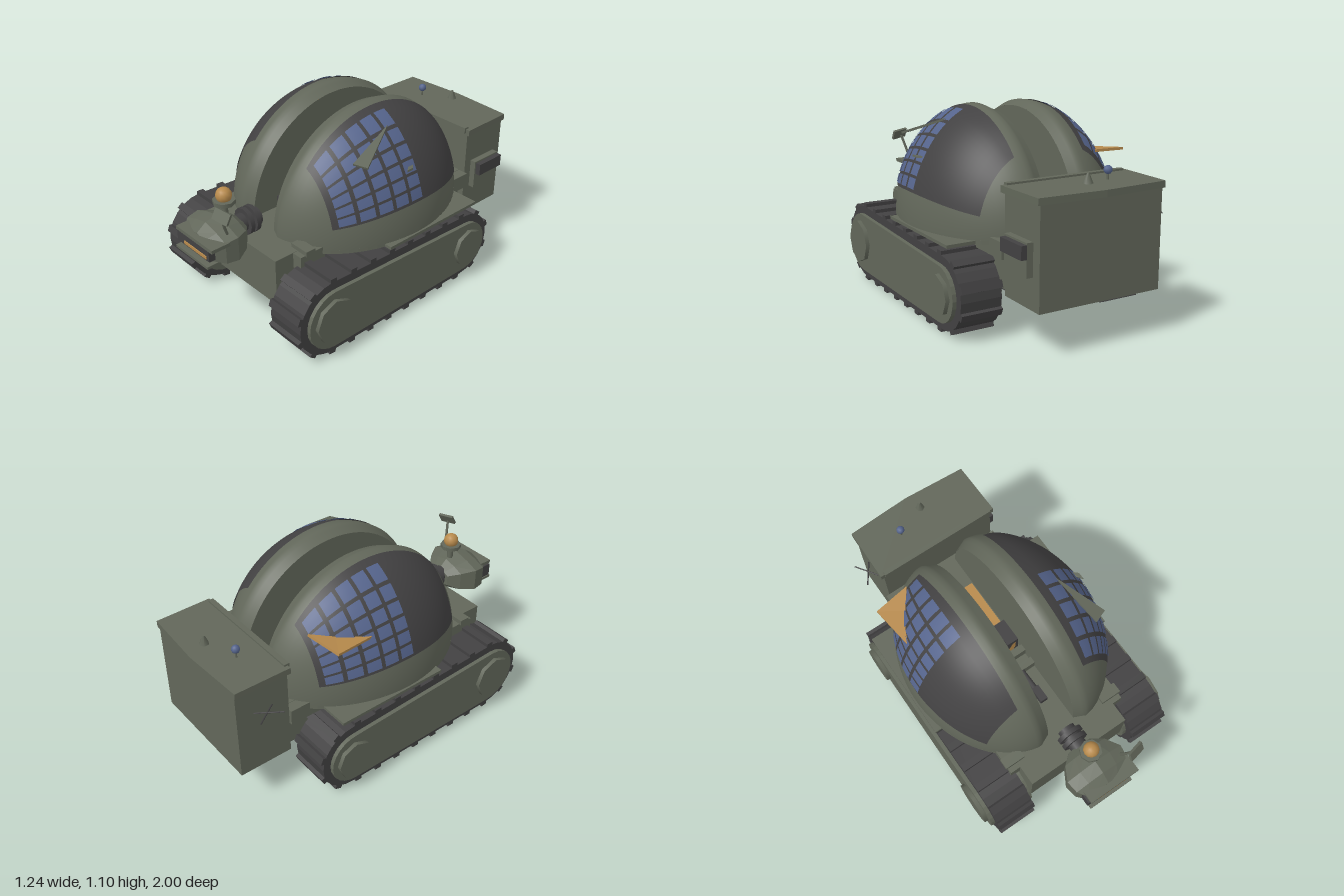
import * as THREE from 'three';

const paint = (name, color) => {
  const m = new THREE.MeshStandardMaterial({ color, side: THREE.DoubleSide });
  m.name = name;
  return m;
};
const green = paint('olive green', 0x62675a);
const gray = paint('dark gray', 0x424142);
const orange = paint('amber', 0xb78a4c);
const blue = paint('slate blue', 0x55648c);

function add(parent, name, geo, mat, x = 0, y = 0, z = 0) {
  const m = new THREE.Mesh(geo, mat);
  m.name = name;
  m.position.set(x, y, z);
  parent.add(m);
  return m;
}
// box given by its extents
const box = (p, name, mat, x0, x1, y0, y1, z0, z1) =>
  add(p, name, new THREE.BoxGeometry(x1 - x0, y1 - y0, z1 - z0), mat, (x0 + x1) / 2, (y0 + y1) / 2, (z0 + z1) / 2);
const cyl = (r0, r1, h, n) => new THREE.CylinderGeometry(r0, r1, h, n);
// outline in (z, y), extruded symmetrically along x
const sideExtrude = (pts, width) =>
  new THREE.ExtrudeGeometry(new THREE.Shape(pts), { depth: width, bevelEnabled: false })
    .rotateY(-Math.PI / 2).translate(width / 2, 0, 0);
// outline in (x, z), extruded downward
const planExtrude = (pts, h) =>
  new THREE.ExtrudeGeometry(new THREE.Shape(pts), { depth: h, bevelEnabled: false }).rotateX(Math.PI / 2);
const V2 = (x, y) => new THREE.Vector2(x, y);
const V3 = (x, y, z) => new THREE.Vector3(x, y, z);

// flat-faced plate through three or four points
function plate(parent, name, mat, pts, h) {
  const n = V3().crossVectors(pts[1].clone().sub(pts[0]), pts[2].clone().sub(pts[0])).normalize().multiplyScalar(h);
  const all = [...pts, ...pts.map(p => p.clone().sub(n))], k = pts.length, idx = [];
  for (let i = 1; i < k - 1; i++) idx.push(0, i, i + 1, k, k + i + 1, k + i);
  for (let i = 0; i < k; i++) {
    const j = (i + 1) % k;
    idx.push(i, k + i, k + j, i, k + j, j);
  }
  const g = new THREE.BufferGeometry().setFromPoints(all);
  g.setIndex(idx);
  const flat = g.toNonIndexed();
  flat.computeVertexNormals();
  return add(parent, name, flat, mat);
}

// dome half: x along its axis as a function of radius
const R = 0.62;
const domeX = r => 0.15 + 0.425 * Math.pow(Math.max(0, 1 - (r / R) ** 2), 1 / 1.7);

// patch of dome skin, u from front to back, v from bottom to top
function skin(u0, u1, v0, v1, n, m, lift) {
  const pos = [], idx = [], k = 1 + lift / 0.6;
  for (let i = 0; i <= n; i++) for (let j = 0; j <= m; j++) {
    const u = u0 + (u1 - u0) * i / n, v = v0 + (v1 - v0) * j / m;
    const z = 0.46 - 0.92 * u;
    const low = 0.125 + 0.05 * Math.sin(Math.PI * u), high = Math.sqrt(0.61 ** 2 - z * z);
    const y = low + (high - low) * v;
    pos.push(domeX(Math.hypot(y, z)) * k + lift * 0.3, y * k, z * k);
    if (i < n && j < m) {
      const a = i * (m + 1) + j, b = a + m + 1;
      idx.push(a, b, b + 1, a, b + 1, a + 1);
    }
  }
  const g = new THREE.BufferGeometry();
  g.setAttribute('position', new THREE.Float32BufferAttribute(pos, 3));
  g.setIndex(idx);
  g.computeVertexNormals();
  return g;
}

function domeHalf() {
  const g = new THREE.Group();
  const profile = [V2(0.59, 0.085), V2(0.61, 0.13)];
  for (let i = 0; i <= 18; i++) {
    const r = R * Math.cos(i / 18 * Math.PI / 2);
    profile.push(V2(Math.max(r, 0), domeX(r)));
  }
  add(g, 'domeShell', new THREE.LatheGeometry(profile, 48, Math.PI, Math.PI).rotateZ(-Math.PI / 2), green);
  add(g, 'domeInnerWall', new THREE.CircleGeometry(0.59, 40, 0, Math.PI).rotateY(-Math.PI / 2), green, 0.085);
  const rim = profile.map(p => V2(p.y, p.x)), back = profile.map(p => V2(p.y, -p.x)).reverse().slice(1);
  add(g, 'domeBase', planExtrude([...rim, ...back], 0.02), green, 0, 0.005);
  add(g, 'windowFrame', skin(0, 1, 0, 1, 28, 16, 0.004), gray);
  // glass panes
  const cols = 5, rows = 6;
  for (let i = 0; i < cols; i++) for (let j = 0; j < rows; j++) {
    const u = 0.03 + i * 0.105, v = 0.04 + j * 0.158;
    add(g, 'windowPane', skin(u, u + 0.083, v, v + 0.126, 4, 3, 0.008), blue);
  }
  return g;
}

function trackUnit() {
  const g = new THREE.Group();
  const outline = inset => {
    const pts = [];
    const arc = (z, y, r, a0) => {
      for (let i = 0; i <= 12; i++) {
        const a = a0 + Math.PI * i / 12;
        pts.push(V2(z + (r - inset) * Math.cos(a), y + (r - inset) * Math.sin(a)));
      }
    };
    arc(0.565, 0.235, 0.215, -Math.PI / 2);
    arc(-0.43, 0.215, 0.195, Math.PI / 2);
    return pts;
  };
  add(g, 'trackBelt', sideExtrude(outline(0), 0.23), gray);
  add(g, 'trackPod', sideExtrude(outline(0.045), 0.275), green);
  // tread bars around the belt
  const path = new THREE.Shape([...outline(0), outline(0)[0]]), n = 24;
  const spots = path.getSpacedPoints(n);
  for (let i = 0; i < n; i++) {
    const t = path.getTangentAt((i + 0.001) / n);
    const bar = add(g, 'treadBar', new THREE.BoxGeometry(0.23, 0.04, 0.04), gray, 0, spots[i].y, spots[i].x);
    bar.rotation.x = -Math.atan2(t.y, t.x);
  }
  // octagonal hubs
  for (const [z, y, r] of [[0.575, 0.24, 0.125], [-0.44, 0.215, 0.11]]) {
    const hub = cyl(r, r, 0.32, 8).rotateZ(Math.PI / 2);
    add(g, 'wheelHub', hub, green, 0, y, z);
  }
  return g;
}

function head() {
  const g = new THREE.Group();
  // faceted shell from eight-sided sections along z
  const rows = [[0.7, 0.07, 0.62, 0.51], [0.75, 0.13, 0.665, 0.47], [0.83, 0.175, 0.69, 0.45],
    [0.9, 0.165, 0.675, 0.46], [0.955, 0.12, 0.635, 0.495]];
  const pos = [], idx = [], N = 8;
  for (const [z, w, top, bot] of rows) {
    const m = (top + bot) / 2, h = (top - bot) / 2;
    for (const [a, b] of [[1, -0.55], [1, 0.55], [0.55, 0.8], [0, 1], [-0.55, 0.8], [-1, 0.55], [-1, -0.55], [0, -1]])
      pos.push(a * w, m + b * h, z);
  }
  for (let i = 0; i < rows.length - 1; i++) for (let j = 0; j < N; j++) {
    const a = i * N + j, b = i * N + (j + 1) % N;
    idx.push(a, b, b + N, a, b + N, a + N);
  }
  const e = (rows.length - 1) * N;
  for (let j = 1; j < N - 1; j++) idx.push(0, j + 1, j, e, e + j, e + j + 1);
  let shell = new THREE.BufferGeometry();
  shell.setAttribute('position', new THREE.Float32BufferAttribute(pos, 3));
  shell.setIndex(idx);
  shell = shell.toNonIndexed();
  shell.computeVertexNormals();
  add(g, 'headShell', shell, green);
  // visor with glowing strip
  box(g, 'visorTop', green, -0.135, 0.175, 0.61, 0.63, 0.88, 0.99);
  box(g, 'visorLip', green, -0.135, 0.14, 0.505, 0.52, 0.9, 1.0);
  box(g, 'visorScreen', gray, -0.145, 0.13, 0.535, 0.61, 0.88, 0.98);
  box(g, 'visorStrip', orange, -0.08, 0.11, 0.545, 0.562, 0.975, 0.985);
  // beacon
  add(g, 'beaconStem', cyl(0.018, 0.018, 0.08, 8), green, 0, 0.71, 0.78);
  add(g, 'beaconBase', cyl(0.06, 0.06, 0.022, 8), green, 0, 0.75, 0.78);
  add(g, 'beaconLamp', new THREE.SphereGeometry(0.043, 12, 8), orange, 0, 0.785, 0.78);
  // mirror on a bent stalk
  add(g, 'mirrorStalk', new THREE.TubeGeometry(new THREE.CatmullRomCurve3(
    [V3(0.14, 0.66, 0.87), V3(0.15, 0.71, 0.89), V3(0.17, 0.79, 0.915)]), 6, 0.008, 5), green);
  const mirror = add(g, 'mirror', new THREE.BoxGeometry(0.095, 0.06, 0.015), green, 0.18, 0.8, 0.92);
  mirror.rotation.set(-0.5, 0.25, 0);
  // neck
  for (const [z, r, l] of [[0.66, 0.05, 0.16], [0.66, 0.075, 0.025], [0.62, 0.075, 0.025]])
    add(g, 'neckRing', cyl(r, r, l, 12).rotateX(Math.PI / 2), gray, 0, 0.58, z);
  return g;
}

export function createModel() {
  const model = new THREE.Group();
  const put = (obj, name, x = 0, y = 0, z = 0) => {
    obj.name = name;
    obj.position.set(x, y, z);
    model.add(obj);
    return obj;
  };

  // hull
  box(model, 'hull', green, -0.315, 0.315, 0.24, 0.51, -0.7, 0.715);
  box(model, 'hullShoulder', green, -0.375, 0.375, 0.42, 0.508, -0.67, 0.6);
  box(model, 'bellyPlate', gray, -0.28, 0.28, 0.21, 0.242, -0.88, 0.69);
  box(model, 'fender', green, -0.585, 0.585, 0.465, 0.482, -0.5, 0.17);
  for (const s of [1, -1]) {
    add(model, 'deckHatch', new THREE.BoxGeometry(0.12, 0.03, 0.06), green, s * 0.325, 0.518, 0.54);
    put(trackUnit(), s > 0 ? 'leftTrack' : 'rightTrack', s * 0.46);
  }

  // split dome: the second half is turned half round
  put(domeHalf(), 'leftDome', 0, 0.48, -0.05);
  put(domeHalf(), 'rightDome', 0, 0.48, -0.05).rotation.y = Math.PI;

  // fins on the windows
  plate(model, 'leftFin', green, [V3(0.34, 1.03, -0.03), V3(0.4, 0.935, 0.27), V3(0.475, 0.93, 0.24)], 0.012);
  plate(model, 'rightFin', orange, [V3(-0.51, 0.85, -0.47), V3(-0.3, 0.86, -0.5), V3(-0.38, 0.84, -0.39), V3(-0.47, 0.82, -0.21)], 0.014);
  plate(model, 'leftHandle', green, [V3(0.46, 0.84, -0.1), V3(0.47, 0.84, -0.06), V3(0.52, 0.845, 0), V3(0.52, 0.845, -0.04)], 0.01);

  // machinery in the gap
  box(model, 'amberRail', orange, -0.065, -0.025, 0.5, 0.6, -0.42, 0.02);
  box(model, 'amberRail', orange, 0.01, 0.06, 0.5, 0.6, -0.42, 0.02);
  box(model, 'railBlock', gray, -0.08, -0.005, 0.5, 0.63, -0.4, -0.26);
  box(model, 'railBlock', gray, 0.005, 0.075, 0.5, 0.63, -0.12, 0.02);
  for (const z of [0.06, 0.15]) box(model, 'crossBar', green, -0.087, 0.087, 0.51, 0.57, z - 0.02, z + 0.02);
  for (const x of [-0.06, 0]) {
    add(model, 'barrel', cyl(0.018, 0.013, 0.2, 8).rotateX(Math.PI / 2), gray, x, 0.56, 0.27);
    box(model, 'barrelTip', gray, x - 0.022, x + 0.022, 0.54, 0.58, 0.29, 0.38);
  }

  // rear cargo box
  box(model, 'rearBox', green, -0.355, 0.355, 0.235, 0.77, -0.975, -0.67);
  add(model, 'rearLid', planExtrude([V2(-0.375, -0.66), V2(-0.37, -0.98), V2(0, -1), V2(0.37, -0.98), V2(0.375, -0.66)], 0.035), green, 0, 0.79, 0);
  box(model, 'lidEdge', green, -0.35, 0.35, 0.765, 0.8, -0.68, -0.65);
  add(model, 'sensorBall', new THREE.IcosahedronGeometry(0.023, 1), blue, -0.14, 0.84, -0.82);
  add(model, 'sensorPost', cyl(0.006, 0.006, 0.05, 6), green, -0.14, 0.81, -0.82);
  add(model, 'lidCone', cyl(0.006, 0.026, 0.05, 6), green, 0.035, 0.83, -0.895);
  box(model, 'sideLocker', green, 0.35, 0.39, 0.4, 0.57, -0.92, -0.72);
  box(model, 'lockerPanel', gray, 0.39, 0.42, 0.49, 0.56, -0.92, -0.73);
  for (const a of [0.6, -0.6]) {
    const rod = add(model, 'antenna', cyl(0.004, 0.004, 0.17, 5).rotateX(Math.PI / 2), gray, -0.39, 0.6, -0.82);
    rod.rotation.y = a;
  }

  put(head(), 'head');
  return model;
}
